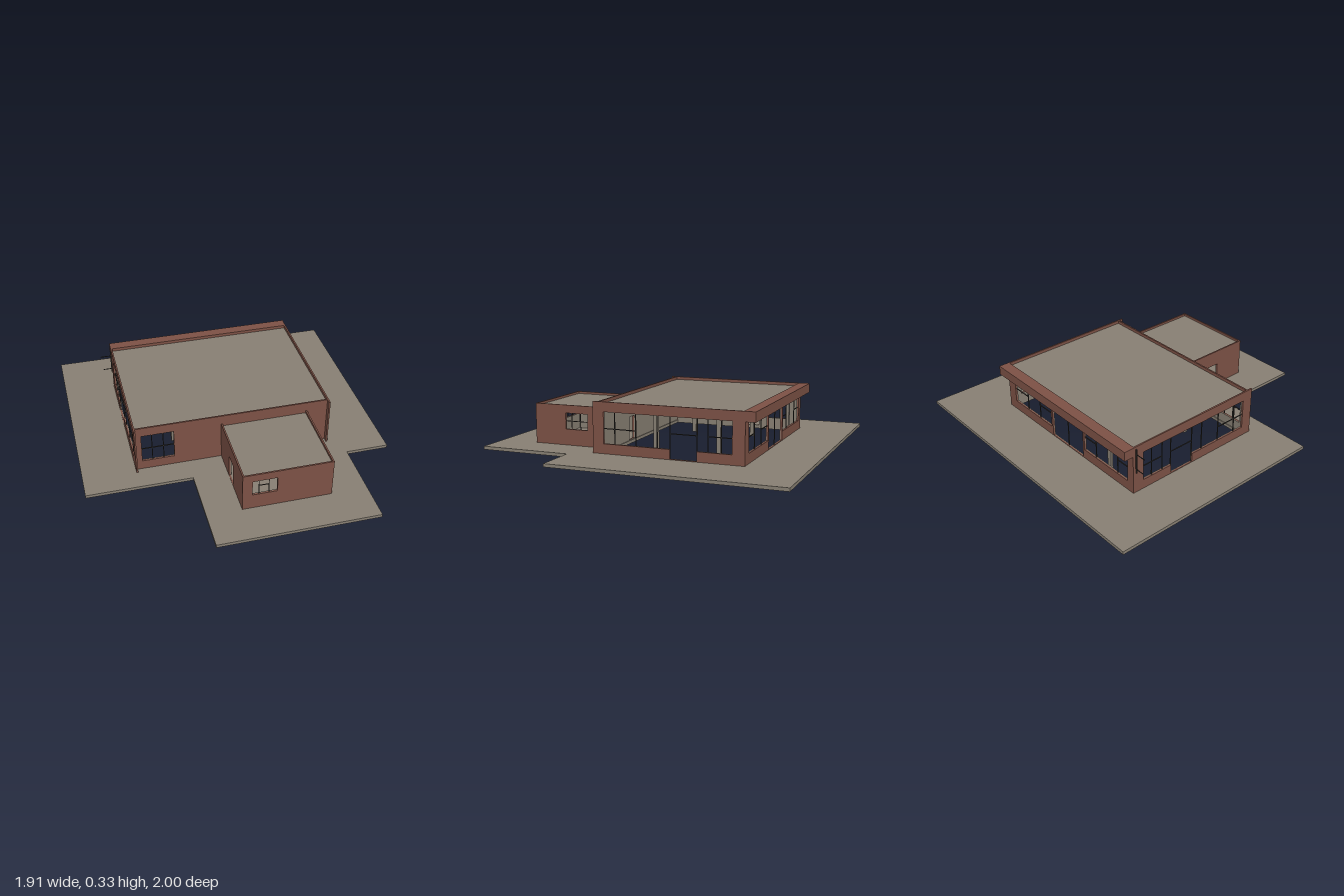
import * as THREE from 'three';

const brick = new THREE.MeshStandardMaterial({ color: 0x7c5145 });
brick.name = 'brick red';
const stone = new THREE.MeshStandardMaterial({ color: 0x877f73 });
stone.name = 'warm grey';
const dark = new THREE.MeshStandardMaterial({ color: 0x35322e });
dark.name = 'dark frame';

const points = (list) => list.map(([a, b]) => new THREE.Vector2(a, b));
const rect = (a0, b0, a1, b1) => [[a0, b0], [a1, b0], [a1, b1], [a0, b1]];

function extrude(outline, holes, depth) {
  const shape = new THREE.Shape(points(outline));
  for (const h of holes) shape.holes.push(new THREE.Path(points(h)));
  return new THREE.ExtrudeGeometry(shape, { depth, bevelEnabled: false });
}

export function createModel() {
  const model = new THREE.Group();

  const add = (name, geometry, material, parent = model) => {
    const mesh = new THREE.Mesh(geometry, material);
    mesh.name = name;
    parent.add(mesh);
    return mesh;
  };

  // Box given by its two opposite corners
  const block = (name, material, [x0, y0, z0], [x1, y1, z1], parent) => {
    const mesh = add(name, new THREE.BoxGeometry(x1 - x0, y1 - y0, z1 - z0), material, parent);
    mesh.position.set((x0 + x1) / 2, (y0 + y1) / 2, (z0 + z1) / 2);
    return mesh;
  };

  // Wall skin: brick outside, grey lining inside. 'out' is the outward sign along its axis.
  function wall(name, axis, at, out, outline, holes, lining = outline) {
    const group = new THREE.Group();
    group.name = name;
    model.add(group);
    const skin = (part, outer, inner, profile, material) => {
      const mesh = add(part, extrude(profile, holes, Math.abs(outer - inner)), material, group);
      if (axis === 'z') {
        mesh.position.z = Math.min(outer, inner);
      } else {
        mesh.rotation.y = -Math.PI / 2;
        mesh.position.x = Math.max(outer, inner);
      }
    };
    skin(name + 'Skin', at, at - out * 0.01, outline, brick);
    skin(name + 'Lining', at - out * 0.01, at - out * 0.015, lining, stone);
  }

  // Thin frame bars in a wall plane: verticals [u, y0, y1], horizontals [y, u0, u1]
  function frame(name, axis, at, verticals, horizontals, t = 0.005) {
    const group = new THREE.Group();
    group.name = name;
    model.add(group);
    const bar = (u0, y0, u1, y1) => axis === 'z'
      ? block('frameBar', dark, [u0, y0, at - t / 2], [u1, y1, at + t / 2], group)
      : block('frameBar', dark, [at - t / 2, y0, u0], [at + t / 2, y1, u1], group);
    for (const [u, y0, y1] of verticals) bar(u - t / 2, y0, u + t / 2, y1);
    for (const [y, u0, u1] of horizontals) bar(u0, y - t / 2, u1, y + t / 2);
  }

  // Paved slab, open beneath the main hall
  const slab = add('pavedSlab', extrude(
    [[-0.96, 1], [0.955, 1], [0.955, -0.42], [0.685, -0.42], [0.685, -1], [-0.305, -1], [-0.305, -0.42], [-0.96, -0.42]],
    [rect(-0.615, -0.24, 0.585, 0.64)], 0.02), stone);
  slab.rotation.x = -Math.PI / 2;

  // Side walls of the hall with long windows and a door
  const sideOutline = [[0.29, 0.02], [0.29, 0.33], [-0.71, 0.33], [-0.71, 0.27], [-0.65, 0.27], [-0.65, 0.02]];
  const sideOpening = [[0.22, 0.08], [0.22, 0.27], [-0.575, 0.27], [-0.575, 0.08],
    [-0.365, 0.08], [-0.365, 0.023], [-0.2, 0.023], [-0.2, 0.08]];
  const sideLining = rect(-0.64, 0.02, 0.24, 0.3);
  for (const [name, at, out] of [['leftWall', 0.6, 1], ['rightWall', -0.63, -1]]) {
    wall(name, 'x', at, out, sideOutline, [sideOpening], sideLining);
    frame(name + 'Frame', 'x', at - out * 0.008,
      [[0.15, 0.08, 0.27], [0.015, 0.08, 0.27], [-0.12, 0.08, 0.27], [-0.2, 0.02, 0.27],
        [-0.365, 0.02, 0.27], [-0.43, 0.08, 0.27], [-0.51, 0.08, 0.27]],
      [[0.17, -0.365, -0.2], [0.17, 0.015, 0.22], [0.17, -0.575, -0.43]]);
  }

  // Front wall of the hall with a window and the inner doorway to the annex
  wall('frontWall', 'z', 0.26, 1, rect(-0.62, 0.02, 0.59, 0.33),
    [rect(-0.585, 0.08, -0.385, 0.27), rect(0.11, 0.023, 0.19, 0.17)], rect(-0.615, 0.02, 0.585, 0.3));
  frame('frontWindowFrame', 'z', 0.253,
    [[-0.52, 0.08, 0.27], [-0.45, 0.08, 0.27]], [[0.17, -0.585, -0.385]]);

  // Back wall with two windows around a wide doorway
  wall('backWall', 'z', -0.65, -1, rect(-0.62, 0.02, 0.59, 0.27),
    [rect(0.145, 0.08, 0.53, 0.269), rect(-0.17, 0.023, 0.13, 0.269), rect(-0.58, 0.08, -0.185, 0.269)]);
  frame('backFrame', 'z', -0.642,
    [[0.27, 0.08, 0.27], [0.4, 0.08, 0.27], [-0.02, 0.02, 0.27], [-0.29, 0.08, 0.27], [-0.485, 0.08, 0.27]],
    [[0.17, 0.145, 0.27], [0.17, 0.4, 0.53], [0.17, -0.29, -0.185], [0.17, -0.58, -0.485]]);
  block('backPier', stone, [-0.415, 0.02, -0.635], [-0.385, 0.27, -0.62]);

  // Roof and overhanging back fascia
  block('hallRoof', stone, [-0.62, 0.295, -0.64], [0.59, 0.31, 0.25]);
  block('backFascia', brick, [-0.62, 0.27, -0.71], [0.59, 0.33, -0.64]);

  // Inner columns
  for (const x of [-0.345, 0.315]) {
    for (const z of [-0.4, 0.005]) {
      block('column', stone, [x - 0.013, 0, z - 0.013], [x + 0.013, 0.3, z + 0.013]);
    }
  }

  // Annex
  wall('annexFrontWall', 'z', 0.76, 1, rect(-0.09, 0.02, 0.46, 0.27),
    [rect(-0.03, 0.12, 0.12, 0.22)], rect(-0.08, 0.02, 0.45, 0.25));
  const annexSide = rect(0.26, 0.02, 0.75, 0.27);
  const annexLining = rect(0.265, 0.02, 0.745, 0.25);
  wall('annexLeftWall', 'x', 0.46, 1, annexSide, [rect(0.4, 0.12, 0.55, 0.22)], annexLining);
  wall('annexRightWall', 'x', -0.09, -1, annexSide, [rect(0.45, 0.023, 0.545, 0.17)], annexLining);
  block('annexBackLining', stone, [-0.08, 0.02, 0.26], [0.11, 0.25, 0.264]);
  block('annexBackLining', stone, [0.19, 0.02, 0.26], [0.45, 0.25, 0.264]);
  block('annexBackLining', stone, [0.11, 0.17, 0.26], [0.19, 0.25, 0.264]);
  block('annexRoof', stone, [-0.08, 0.245, 0.26], [0.45, 0.255, 0.75]);
  frame('annexFrontFrame', 'z', 0.753,
    [[0.01, 0.12, 0.22], [0.07, 0.12, 0.22]], [[0.18, 0.01, 0.07]], 0.004);
  frame('annexLeftFrame', 'x', 0.453,
    [[0.45, 0.12, 0.22], [0.51, 0.12, 0.22]], [[0.17, 0.4, 0.55]], 0.004);

  // Wall bracket with two rods at the back corner
  block('bracketPlate', dark, [-0.638, 0.155, -0.633], [-0.631, 0.315, -0.627]);
  block('bracketUpperRod', dark, [-0.705, 0.28, -0.632], [-0.631, 0.284, -0.628]);
  block('bracketLowerRod', dark, [-0.69, 0.178, -0.632], [-0.631, 0.182, -0.628]);

  return model;
}
